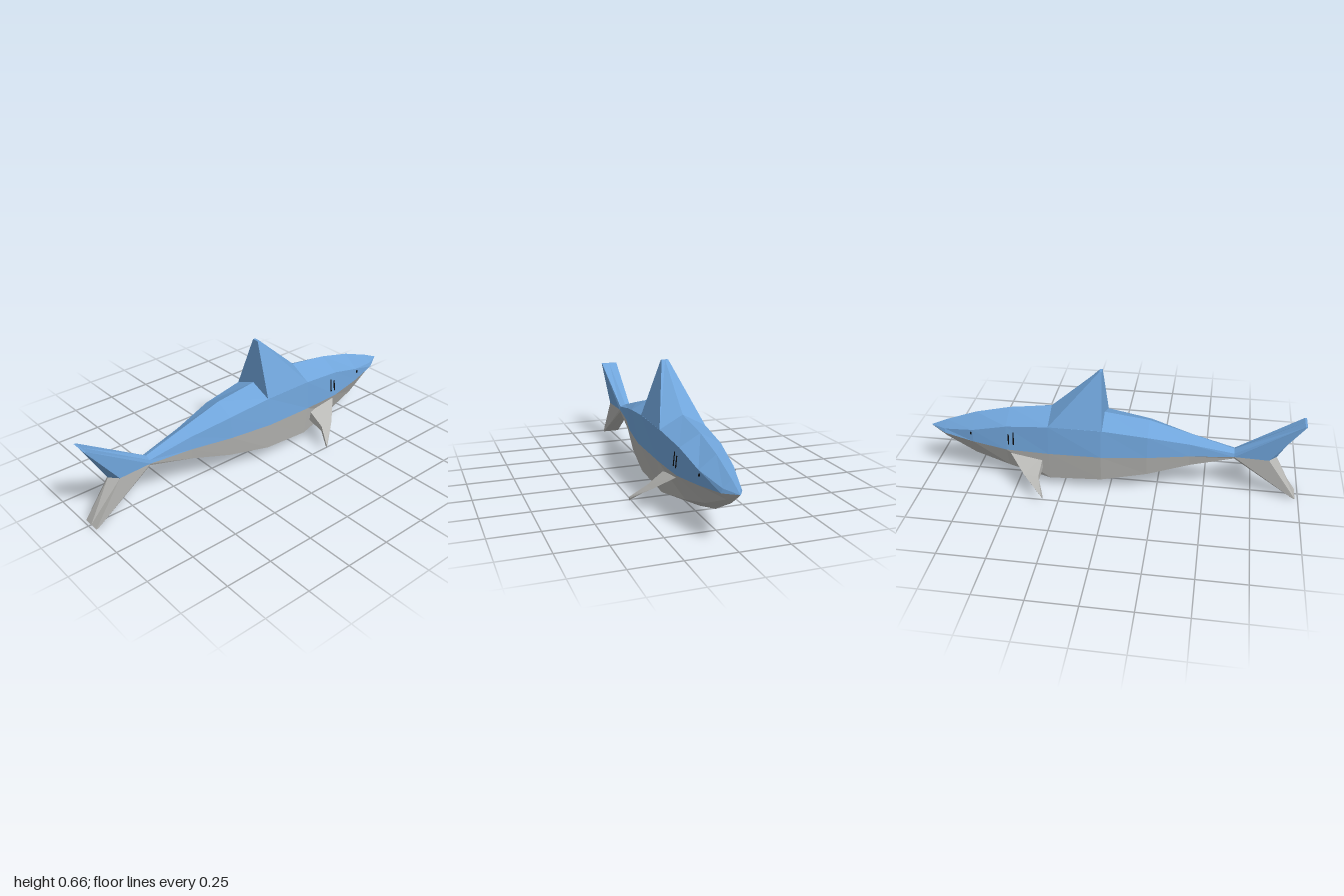
import * as THREE from 'three';

const mat = (name, color) => {
  const m = new THREE.MeshStandardMaterial({ color, flatShading: true });
  m.name = name;
  return m;
};

// Skins a list of rings; each ring runs counter-clockwise around the direction of travel.
function loft(sections, { closed = true, capStart = false, capEnd = false } = {}) {
  const pos = [];
  const tri = (a, b, c) => pos.push(...a, ...b, ...c);
  const n = sections[0].length;
  for (let i = 0; i < sections.length - 1; i++) {
    const s = sections[i], t = sections[i + 1];
    for (let j = 0; j < (closed ? n : n - 1); j++) {
      const k = (j + 1) % n;
      tri(s[j], s[k], t[k]);
      tri(s[j], t[k], t[j]);
    }
  }
  const first = sections[0], last = sections[sections.length - 1];
  for (let j = 1; j < n - 1; j++) {
    if (capStart) tri(first[0], first[j + 1], first[j]);
    if (capEnd) tri(last[0], last[j], last[j + 1]);
  }
  const g = new THREE.BufferGeometry();
  g.setAttribute('position', new THREE.Float32BufferAttribute(pos, 3));
  g.computeVertexNormals();
  return g;
}

export function createModel() {
  const group = new THREE.Group();
  const blue = mat('back blue', 0x70a5db);
  const grey = mat('belly grey', 0xb8b8b5);
  const black = mat('black', 0x0a0a0a);
  const add = (name, geometry, material) => {
    const mesh = new THREE.Mesh(geometry, material);
    mesh.name = name;
    group.add(mesh);
    return mesh;
  };

  // Body stations: x, top y, shoulder y/z, side y/z, bilge y/z, keel y
  const stations = [
    [-0.65, 0.255, 0.243, 0.03, 0.225, 0.035, 0.213, 0.03, 0.205],
    [-0.42, 0.325, 0.292, 0.055, 0.225, 0.064, 0.165, 0.054, 0.14],
    [-0.2, 0.39, 0.34, 0.1, 0.225, 0.112, 0.112, 0.094, 0.08],
    [0.04, 0.42, 0.372, 0.122, 0.222, 0.14, 0.07, 0.12, 0.04],
    [0.32, 0.435, 0.37, 0.12, 0.213, 0.131, 0.046, 0.108, 0.012],
    [0.55, 0.405, 0.345, 0.105, 0.21, 0.118, 0.085, 0.072, 0.045],
    [0.74, 0.36, 0.295, 0.085, 0.226, 0.09, 0.135, 0.05, 0.1],
    [0.91, 0.298, 0.262, 0.042, 0.241, 0.05, 0.21, 0.024, 0.19],
    [1, 0.258, 0.258, 0, 0.258, 0, 0.258, 0, 0.258],
  ];
  add('upperBody', loft(stations.map(([x, top, sy, sz, my, mz]) => [
    [x, my, -mz], [x, sy, -sz], [x, top, 0], [x, sy, sz], [x, my, mz],
  ]), { closed: false }), blue);
  add('lowerBody', loft(stations.map(([x, , , , my, mz, ly, lz, keel]) => [
    [x, my, mz], [x, ly, lz], [x, keel, 0], [x, ly, -lz], [x, my, -mz],
  ]), { closed: false }), grey);

  // Dorsal fin, as wide as the back at its foot
  add('dorsalFin', loft([
    [[0.035, 0.37, 0.122], [0.32, 0.37, 0.12], [0.32, 0.435, 0], [0.32, 0.37, -0.12], [0.035, 0.37, -0.122]],
    [[0.05, 0.66, 0.018], [0.062, 0.66, 0.018], [0.065, 0.66, 0], [0.062, 0.66, -0.018], [0.05, 0.66, -0.018]],
  ], { capEnd: true }), blue);

  // Tail lobes: ridged leading and trailing edges, wide blunt tips
  const tailLobe = (name, rootY, ridgeY, tipX, tipY, material) => {
    const half = [[-0.83, 0.225, 0.043], [-0.65, 0.225, 0.035], [-0.65, rootY, 0.03]];
    const flip = half.map(([x, y, z]) => [x, y, -z]).reverse();
    const root = [...half, [-0.65, ridgeY, 0], ...flip, [-0.87, 0.225, 0]];
    const tip = root.map(([x, , z]) => [x < -0.7 ? tipX : tipX + 0.01, tipY, Math.sign(z) * 0.047]);
    const rings = [root, tip];
    if (tipY < 0.2) rings.forEach((r) => r.reverse());
    add(name, loft(rings, { capStart: true, capEnd: true }), material);
  };
  tailLobe('upperTailLobe', 0.243, 0.255, -1, 0.445, blue);
  tailLobe('lowerTailLobe', 0.213, 0.205, -0.985, 0, grey);

  // Pectoral fins: z, leading edge, trailing top, trailing bottom
  const finRings = [
    [0.1, [0.545, 0.205], [0.355, 0.18], [0.355, 0.12]],
    [0.2, [0.44, 0.115], [0.363, 0.11], [0.363, 0.08]],
    [0.28, [0.333, 0.04], [0.325, 0.045], [0.325, 0.026]],
  ];
  for (const [side, s] of [['right', 1], ['left', -1]]) {
    const rings = finRings.map(([z, ...pts]) => {
      const ring = pts.map(([x, y]) => [x, y, z * s]);
      return s > 0 ? ring : ring.reverse();
    });
    add(side + 'PectoralFin', loft(rings, { capEnd: true }), grey);

    // Gill slits and eye: x, y, z, height
    const marks = [
      ['FrontGill', 0.537, 0.272, 0.112, 0.06],
      ['RearGill', 0.51, 0.28, 0.113, 0.07],
      ['Eye', 0.75, 0.275, 0.085, 0.014],
    ];
    for (const [name, x, y, z, h] of marks) {
      const mark = add(side + name, new THREE.BoxGeometry(0.006, h, 0.008), black);
      mark.position.set(x, y, z * s);
      mark.rotation.x = -0.11 * s;
    }
  }
  return group;
}
